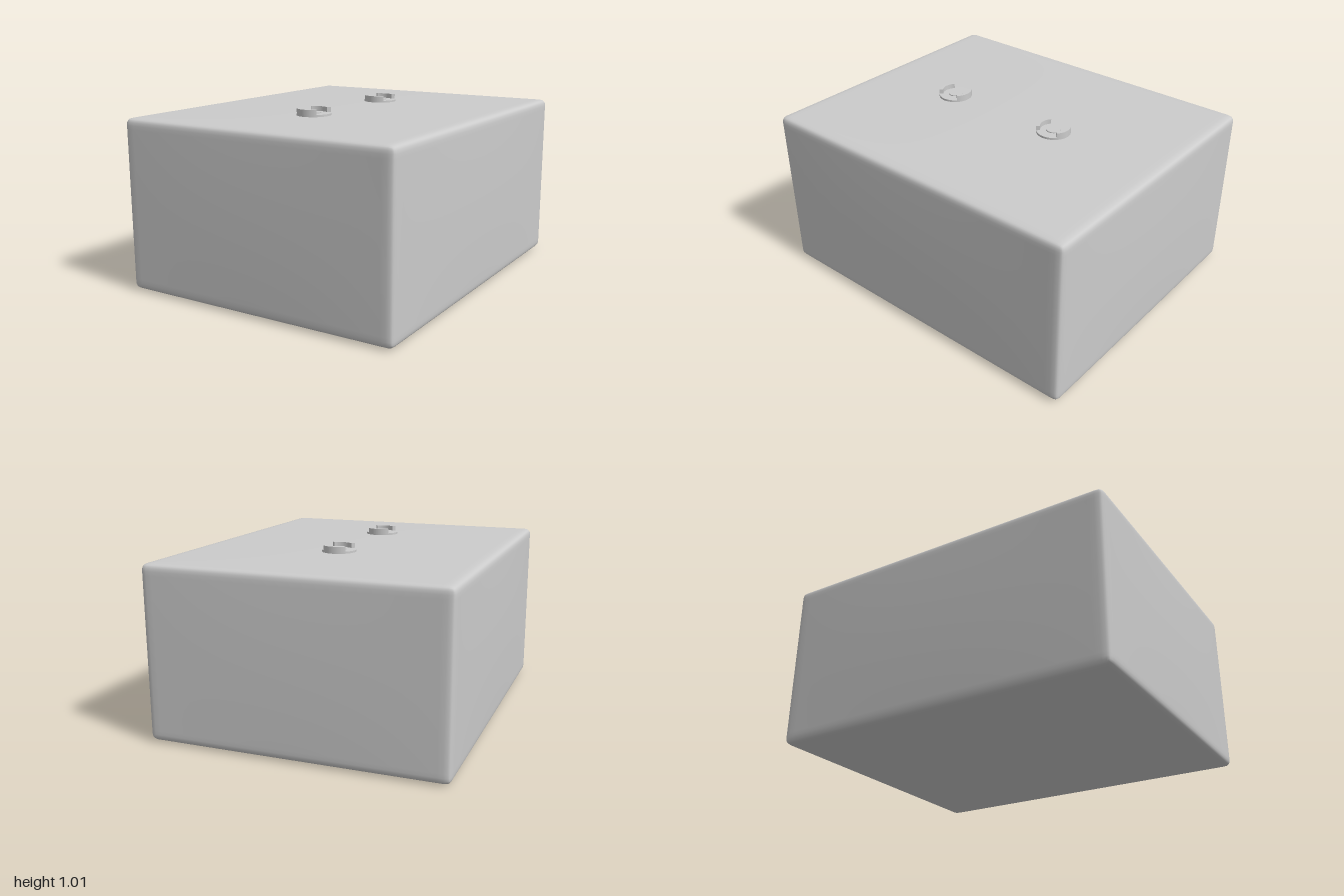
import * as THREE from 'three';
import { mergeVertices } from 'three/addons/utils/BufferGeometryUtils.js';

const material = new THREE.MeshStandardMaterial({ color: 0xcccccc });

function addMesh(parent, name, geometry, y = 0) {
  const mesh = new THREE.Mesh(geometry, material);
  mesh.name = name;
  mesh.position.y = y;
  parent.add(mesh);
  return mesh;
}

// Box with rounded edges and faintly swollen faces
function pillowBox(half, radius, swell) {
  let geometry = new THREE.BoxGeometry(2, 2, 2, 28, 28, 28);
  geometry.deleteAttribute('normal');
  geometry.deleteAttribute('uv');
  geometry = mergeVertices(geometry);
  const pos = geometry.attributes.position;
  const p = new THREE.Vector3(), inner = new THREE.Vector3();
  const limit = half.clone().subScalar(radius);
  // Crowd the grid lines toward the edges
  const ease = (u) => Math.sign(u) * (1 - (1 - Math.abs(u)) ** 2);
  for (let i = 0; i < pos.count; i++) {
    p.fromBufferAttribute(pos, i);
    p.set(ease(p.x), ease(p.y), ease(p.z));
    const bx = 1 - p.x ** 2, by = 1 - p.y ** 2, bz = 1 - p.z ** 2;
    p.multiply(half);
    inner.copy(p).clamp(limit.clone().negate(), limit);
    p.sub(inner).setLength(radius).add(inner);
    p.x += Math.sign(p.x) * swell * by * bz * Math.abs(p.x) / half.x;
    p.y += Math.sign(p.y) * swell * bx * bz * Math.abs(p.y) / half.y;
    p.z += Math.sign(p.z) * swell * bx * by * Math.abs(p.z) / half.z;
    pos.setXYZ(i, p.x, p.y, p.z);
  }
  geometry.computeVertexNormals();
  return geometry;
}

// Curved lip centred on the shape's +y or -y direction
function lipGeometry(side) {
  const middle = side * Math.PI / 2, spread = 0.75;
  const shape = new THREE.Shape();
  shape.absarc(0, 0, 0.095, middle - spread, middle + spread, false);
  shape.absarc(0, 0, 0.073, middle + spread, middle - spread, true);
  return new THREE.ExtrudeGeometry(shape, { depth: 0.034, bevelEnabled: false, curveSegments: 16 })
    .rotateX(-Math.PI / 2);
}

export function createModel() {
  const model = new THREE.Group();
  model.name = 'block';

  addMesh(model, 'body', pillowBox(new THREE.Vector3(0.826, 0.48, 0.992), 0.035, 0.008), 0.488);

  // Two round fittings on the top
  for (const [name, z] of [['frontFitting', 0.4], ['rearFitting', -0.32]]) {
    const fitting = new THREE.Group();
    fitting.name = name;
    fitting.position.z = z;
    addMesh(fitting, 'base', new THREE.CylinderGeometry(0.095, 0.095, 0.025, 40), 0.9735);
    addMesh(fitting, 'centreButton', new THREE.CylinderGeometry(0.04, 0.04, 0.006, 32), 0.988);
    addMesh(fitting, 'frontLip', lipGeometry(-1), 0.979);
    addMesh(fitting, 'rearLip', lipGeometry(1), 0.979);
    model.add(fitting);
  }
  return model;
}
